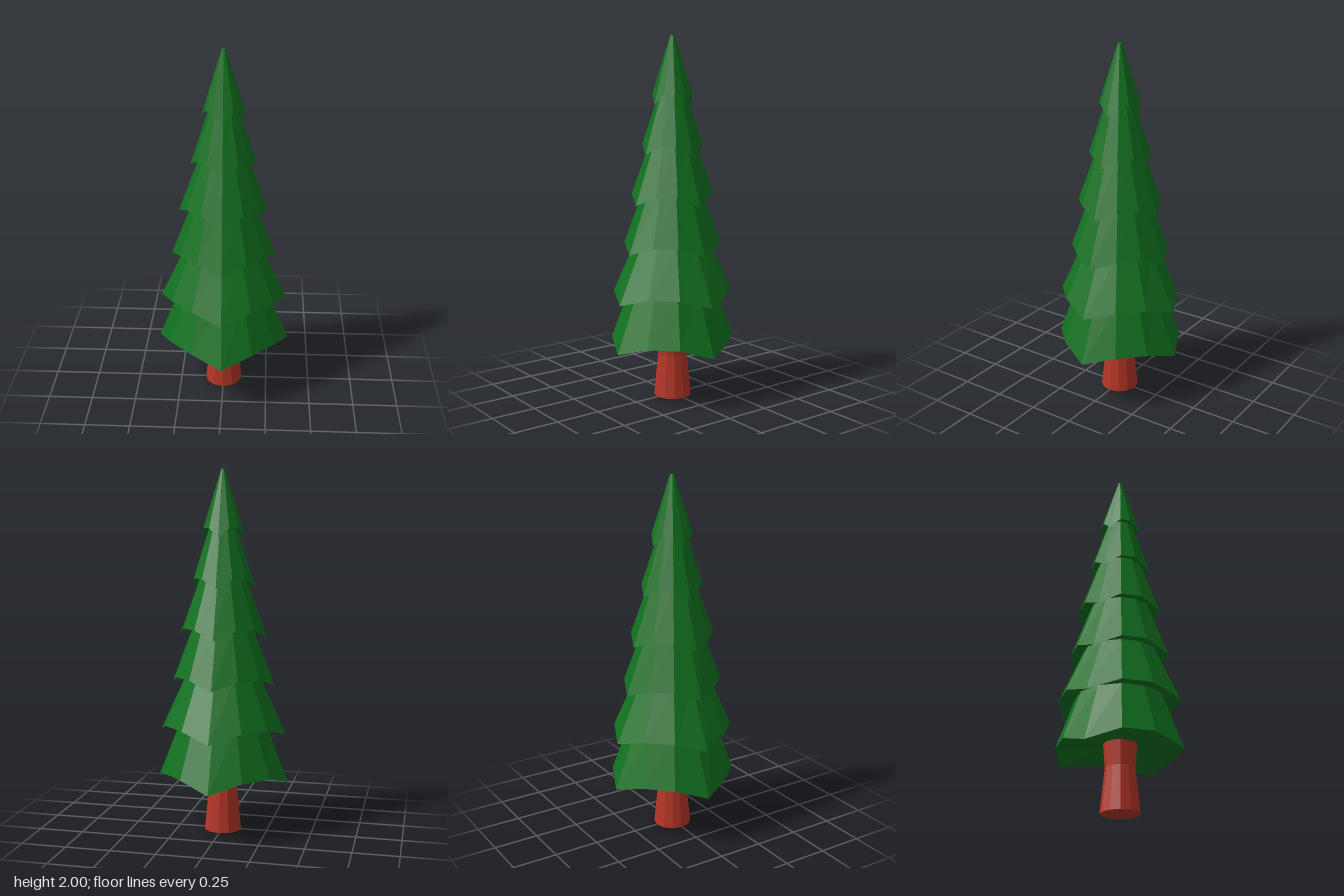
import * as THREE from 'three';

const SIDES = 12;

// Skin a stack of rings [radius, y, droop] from bottom to top, capping both ends.
// A drooping ring pulls its four axis corners down and tucks the others in.
function loft(rings) {
  const pos = [];
  const point = ([r, y, droop = 0], i) => {
    const a = (i / SIDES) * Math.PI * 2;
    const corner = i % 3 === 0;
    const radius = droop && !corner ? r * 0.92 : r;
    return [Math.sin(a) * radius, corner ? y : y + droop, Math.cos(a) * radius];
  };
  const tri = (a, b, c) => pos.push(...a, ...b, ...c);
  const first = rings[0], last = rings[rings.length - 1];
  for (let i = 0; i < SIDES; i++) {
    for (let k = 0; k < rings.length - 1; k++) {
      const a = point(rings[k], i), b = point(rings[k], i + 1);
      const c = point(rings[k + 1], i + 1), d = point(rings[k + 1], i);
      tri(a, b, c);
      tri(a, c, d);
    }
    tri([0, first[1], 0], point(first, i + 1), point(first, i));
    tri([0, last[1], 0], point(last, i), point(last, i + 1));
  }
  const geo = new THREE.BufferGeometry();
  geo.setAttribute('position', new THREE.Float32BufferAttribute(pos, 3));
  geo.computeVertexNormals();
  return geo;
}

export function createModel() {
  const tree = new THREE.Group();
  tree.name = 'pineTree';
  const add = (name, rings, color) => {
    const mesh = new THREE.Mesh(loft(rings),
      new THREE.MeshStandardMaterial({ color, flatShading: true }));
    mesh.name = name;
    tree.add(mesh);
  };

  // Trunk with a slight waist
  add('trunk', [[0.105, 0], [0.08, 0.24], [0.09, 0.38]], 0xb53526);

  // Branch tiers: rim radius, rim y, droop, top radius, top y
  const tiers = [
    [0.37, 0.29, 0.055, 0.24, 0.62],
    [0.355, 0.56, 0.05, 0.205, 0.885],
    [0.29, 0.83, 0.048, 0.165, 1.155],
    [0.245, 1.095, 0.05, 0.125, 1.425],
    [0.18, 1.365, 0.05, 0.075, 1.69],
    [0.12, 1.635, 0.05, 0.011, 2],
  ];
  // Each underside runs from the top of the tier below out to the drooping rim
  let inner = [0.088, 0.37];
  tiers.forEach(([r, y, droop, topR, topY], i) => {
    add(`branchTier${i + 1}`, [inner, [r, y, droop], [topR, topY]], 0x11701f);
    inner = [topR, topY];
  });
  return tree;
}
